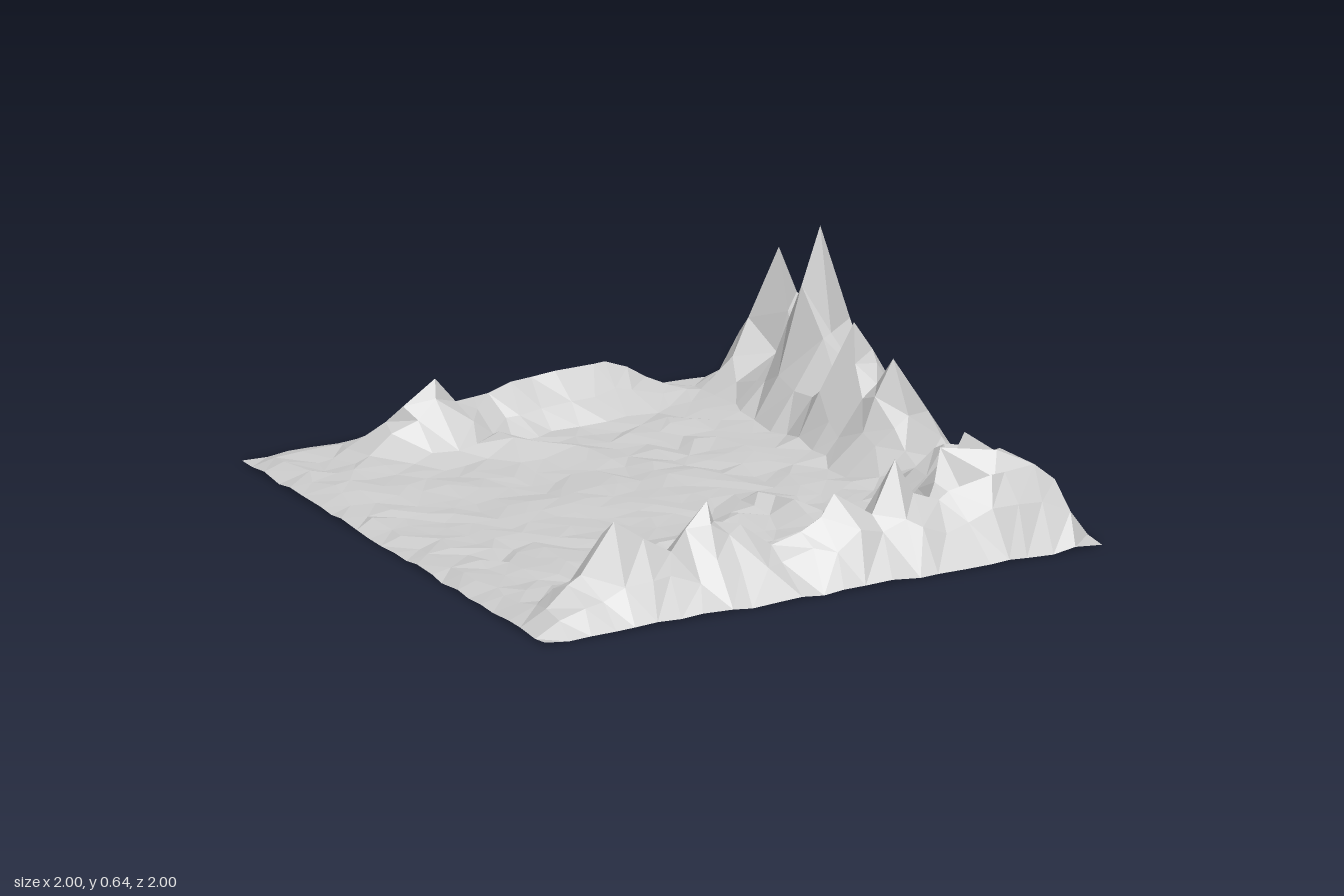
import * as THREE from 'three';

const SEGMENTS = 24;

// Crest lines as [x, z, height] points
const frontCrest = [
  [-0.92, 0.86, 0.08], [-0.78, 0.83, 0.16], [-0.65, 0.81, 0.31], [-0.55, 0.82, 0.24], [-0.45, 0.82, 0.18],
  [-0.31, 0.8, 0.32], [-0.2, 0.82, 0.23], [-0.1, 0.84, 0.15], [0, 0.85, 0.18], [0.13, 0.83, 0.28],
  [0.25, 0.86, 0.2], [0.36, 0.81, 0.35], [0.42, 0.82, 0.23], [0.54, 0.83, 0.22], [0.68, 0.86, 0.26], [0.86, 0.81, 0.25],
];
const sideCrest = [
  [0.86, 0.81, 0.25], [0.78, 0.71, 0.28], [0.84, 0.58, 0.23], [0.8, 0.46, 0.26], [0.77, 0.38, 0.2],
  [0.82, 0.27, 0.11], [0.82, 0.17, 0.06], [0.8, 0.09, 0.2], [0.8, -0.01, 0.36], [0.79, -0.1, 0.25],
  [0.79, -0.25, 0.41], [0.8, -0.33, 0.1], [0.8, -0.42, 0.32], [0.81, -0.51, 0.65], [0.8, -0.59, 0.25],
  [0.77, -0.67, 0.22], [0.78, -0.74, 0.16], [0.83, -0.82, 0.48], [0.86, -0.91, 0.14],
];
const backCrest = [
  [0.47, -0.88, 0.06], [0.34, -0.92, 0.13], [0.22, -0.92, 0.16], [0.08, -0.92, 0.16], [-0.08, -0.92, 0.15],
  [-0.22, -0.9, 0.13], [-0.32, -0.84, 0.15], [-0.41, -0.81, 0.25], [-0.53, -0.8, 0.18], [-0.7, -0.86, 0.05],
];
const cornerCrest = [[0.54, 0.7, 0.15], [0.62, 0.63, 0.29], [0.7, 0.55, 0.15]];
// Low swells on the valley floor
const floorCrest = [[-0.55, 0.42, 0.04], [-0.15, 0.42, 0.06], [0.08, 0.3, 0.06], [0.2, 0.2, 0.08], [0.3, 0.5, 0.09], [0.5, 0.56, 0.06]];
const spurCrest = [[-0.32, -0.72, 0.12], [-0.24, -0.6, 0.09], [-0.05, -0.54, 0.05]];

// Each crest falls off linearly over its width
const crests = [
  { points: frontCrest, width: 0.2 },
  { points: sideCrest, width: 0.22 },
  { points: backCrest, width: 0.17 },
  { points: cornerCrest, width: 0.14 },
  { points: floorCrest, width: 0.12 },
  { points: spurCrest, width: 0.12 },
];

function seeded(seed) {
  let s = seed;
  return () => {
    s = (s * 16807) % 2147483647;
    return s / 2147483647;
  };
}

function crestHeight(x, z) {
  let best = 0;
  for (const { points, width } of crests) {
    for (let i = 0; i + 1 < points.length; i++) {
      const [ax, az, ah] = points[i];
      const [bx, bz, bh] = points[i + 1];
      const dx = bx - ax, dz = bz - az;
      const t = THREE.MathUtils.clamp(((x - ax) * dx + (z - az) * dz) / (dx * dx + dz * dz), 0, 1);
      const d = Math.hypot(x - ax - dx * t, z - az - dz * t);
      best = Math.max(best, (ah + (bh - ah) * t) * (1 - d / width));
    }
  }
  return best;
}

// Border height: low all round, with a swell in the middle of the back edge
function rimHeight(x, z) {
  const swell = z < -0.999 ? 0.08 * Math.max(0, 1 - Math.abs(x - 0.1) / 0.45) : 0;
  const side = x > 0.999 ? 0.025 * (1 - z * z) : 0;
  return 0.018 + swell + side;
}

// Split every grid cell along the diagonal with the smaller height step
function splitCells(geometry) {
  const pos = geometry.attributes.position;
  const row = SEGMENTS + 1;
  const index = [];
  for (let j = 0; j < SEGMENTS; j++) {
    for (let i = 0; i < SEGMENTS; i++) {
      const a = j * row + i, b = a + 1, c = a + row, d = c + 1;
      const stepAD = Math.abs(pos.getY(a) - pos.getY(d));
      const stepBC = Math.abs(pos.getY(b) - pos.getY(c));
      if (stepAD < stepBC) index.push(a, c, d, a, d, b);
      else index.push(a, c, b, b, c, d);
    }
  }
  geometry.setIndex(index);
}

function terrainGeometry() {
  const random = seeded(4127);
  const geometry = new THREE.PlaneGeometry(2, 2, SEGMENTS, SEGMENTS).rotateX(-Math.PI / 2);
  const pos = geometry.attributes.position;
  const isEdge = (v) => Math.abs(v) > 0.999;

  // Irregular ground: shift the grid, keeping the border straight
  for (let i = 0; i < pos.count; i++) {
    const x = pos.getX(i), z = pos.getZ(i);
    const jx = (random() - 0.5) * 0.04, jz = (random() - 0.5) * 0.04;
    const nx = isEdge(x) ? x : x + jx;
    const nz = isEdge(z) ? z : z + jz;
    const bump = random() - 0.5;
    const floor = 0.034 + 0.008 * Math.sin(4 * x + 2) * Math.cos(5 * z) + bump * 0.018;
    const rough = 0.88 + random() * 0.2;
    const border = isEdge(x) || isEdge(z);
    const y = border ? rimHeight(nx, nz) + bump * 0.014 : Math.max(floor, crestHeight(nx, nz) * rough + 0.01);
    pos.setXYZ(i, nx, y, nz);
  }

  // Sharp summits: move the nearest free inner vertex onto each crest point, highest first
  const used = new Set();
  const summits = crests.flatMap((c) => c.points).sort((a, b) => b[2] - a[2]);
  for (const [x, z, h] of summits) {
    let nearest = -1, distance = 0.075;
    for (let i = 0; i < pos.count; i++) {
      if (used.has(i) || isEdge(pos.getX(i)) || isEdge(pos.getZ(i))) continue;
      const d = Math.hypot(pos.getX(i) - x, pos.getZ(i) - z);
      if (d < distance) {
        nearest = i;
        distance = d;
      }
    }
    if (nearest < 0) continue;
    used.add(nearest);
    pos.setXYZ(nearest, x, h, z);
  }

  // Rest the lowest point on the ground
  splitCells(geometry);
  geometry.computeBoundingBox();
  geometry.translate(0, -geometry.boundingBox.min.y, 0);
  geometry.computeVertexNormals();
  return geometry;
}

export function createModel() {
  const group = new THREE.Group();
  group.name = 'mountainValley';
  const material = new THREE.MeshStandardMaterial({ color: 0xcccccc, flatShading: true, side: THREE.DoubleSide });
  const terrain = new THREE.Mesh(terrainGeometry(), material);
  terrain.name = 'terrain';
  group.add(terrain);
  return group;
}
